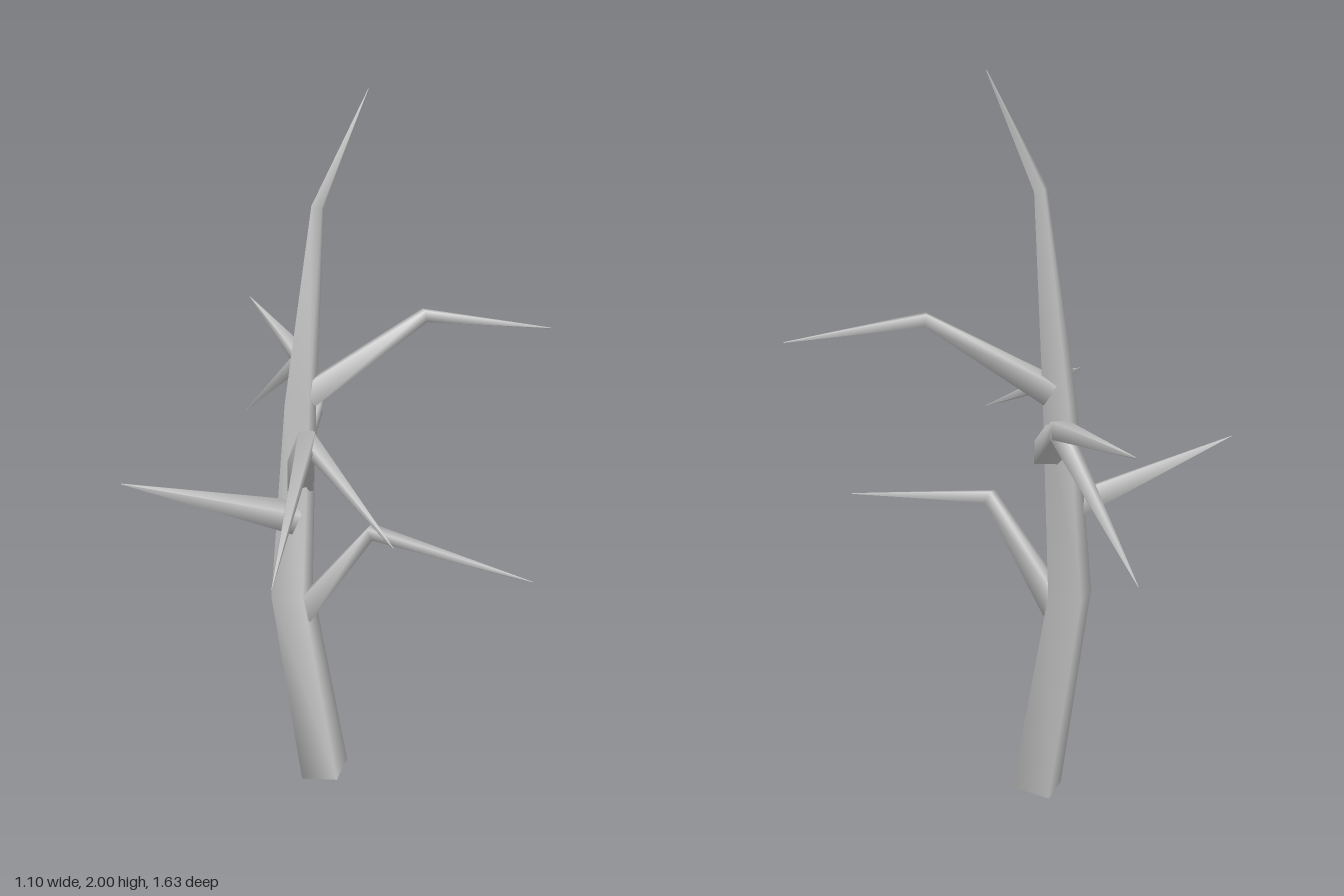
import * as THREE from 'three';

const material = new THREE.MeshStandardMaterial({ color: 0xcccccc });
const SIDES = 4;

// Tapered square limb with smooth normals: each node is [x, y, z, half width],
// and the rings follow the bend at every node.
function limb(name, nodes) {
  const pts = nodes.map(([x, y, z]) => new THREE.Vector3(x, y, z));
  const last = pts.length - 1;
  const dir = (i) => pts[i + 1].clone().sub(pts[i]).normalize();
  const overall = pts[last].clone().sub(pts[0]).normalize();
  const ref = Math.abs(overall.z) > 0.6 ? new THREE.Vector3(0, 1, 0) : new THREE.Vector3(0, 0, 1);
  const position = [];
  const index = [0, 2, 1, 0, 3, 2]; // closed thick end

  pts.forEach((p, i) => {
    const t = i === 0 ? dir(0) : i === last ? dir(last - 1) : dir(i - 1).add(dir(i)).normalize();
    const u = ref.clone().addScaledVector(t, -ref.dot(t)).normalize();
    const v = t.clone().cross(u);
    const r = nodes[i][3] * Math.SQRT2;
    for (let j = 0; j < SIDES; j++) {
      const a = ((j + 0.5) / SIDES) * Math.PI * 2;
      const q = p.clone().addScaledVector(u, Math.cos(a) * r).addScaledVector(v, Math.sin(a) * r);
      position.push(q.x, q.y, q.z);
      if (i < last) {
        const k = i * SIDES + j;
        const n = i * SIDES + ((j + 1) % SIDES);
        index.push(k, n, k + SIDES, n, n + SIDES, k + SIDES);
      }
    }
  });

  const geometry = new THREE.BufferGeometry();
  geometry.setAttribute('position', new THREE.Float32BufferAttribute(position, 3));
  geometry.setIndex(index);
  geometry.computeVertexNormals();
  const mesh = new THREE.Mesh(geometry, material);
  mesh.name = name;
  return mesh;
}

export function createModel() {
  const tree = new THREE.Group();
  tree.name = 'bareTree';
  const tip = 0.001;

  tree.add(
    limb('trunk', [
      [-0.056, 0.009, 0.009, 0.055], [-0.155, 0.6, -0.005, 0.047],
      [-0.15, 1.15, -0.09, 0.035], [-0.105, 1.7, -0.118, 0.014], [0.005, 1.995, -0.215, tip],
    ]),
    limb('lowerBranch', [
      [-0.115, 0.55, 0, 0.032], [0.09, 0.845, 0.03, 0.018], [0.55, 0.797, 0.1, tip],
    ]),
    limb('sideBranch', [
      [-0.145, 0.84, -0.005, 0.035], [-0.54, 1.015, 0.265, tip],
    ]),

    // forked branch reaching forward
    limb('frontBranch', [
      [-0.145, 0.935, -0.055, 0.037], [-0.05, 1.165, 0.17, 0.021], [0.068, 1.085, 0.81, tip],
    ]),
    limb('frontTwig', [
      [-0.06, 1.162, 0.155, 0.02], [0.25, 1.02, 0.425, tip],
    ]),

    limb('upperBranch', [
      [-0.13, 1.175, -0.093, 0.032], [0.155, 1.377, -0.268, 0.016], [0.483, 1.322, -0.415, tip],
    ]),

    // forked branch reaching back
    limb('backBranch', [
      [-0.15, 1.06, -0.08, 0.034], [-0.18, 1.06, -0.295, 0.029],
      [-0.265, 1.152, -0.44, 0.022], [-0.553, 1.187, -0.815, tip],
    ]),
    limb('backTwig', [
      [-0.26, 1.145, -0.43, 0.022], [-0.52, 0.855, -0.66, tip],
    ]),
  );
  return tree;
}
